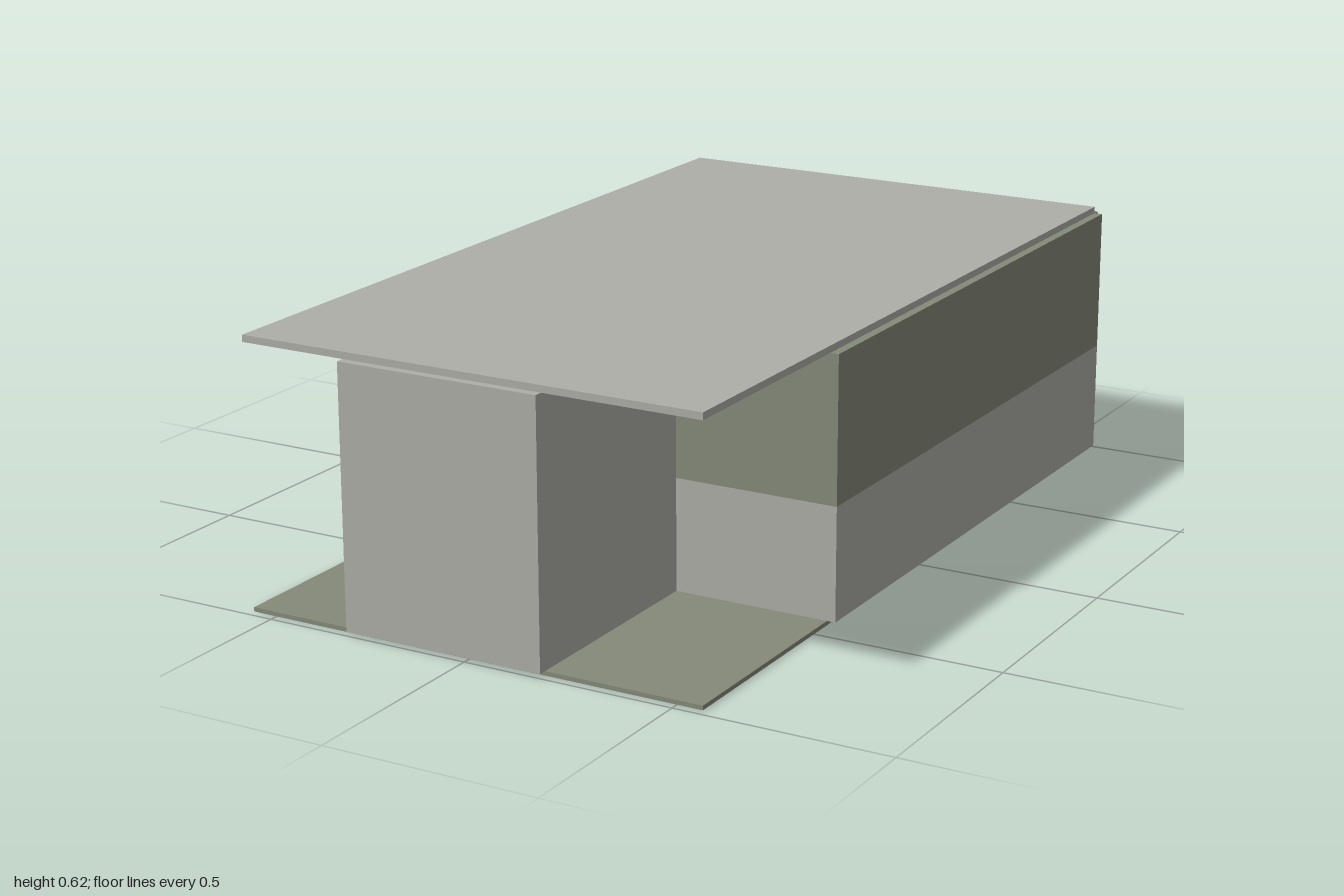
import * as THREE from 'three';

export function createModel() {
  const model = new THREE.Group();
  model.name = 'building';

  const paleGrey = new THREE.MeshStandardMaterial({ color: 0xaeaea8 });
  paleGrey.name = 'paleGrey';
  const olive = new THREE.MeshStandardMaterial({ color: 0x868a7a });
  olive.name = 'olive';

  // Box given by its limits on each axis
  function block(name, material, [x0, x1], [y0, y1], [z0, z1]) {
    const mesh = new THREE.Mesh(new THREE.BoxGeometry(x1 - x0, y1 - y0, z1 - z0), material);
    mesh.position.set((x0 + x1) / 2, (y0 + y1) / 2, (z0 + z1) / 2);
    mesh.name = name;
    model.add(mesh);
  }

  // Footprint of the main hall, with small notches at the back corners
  const footprint = new THREE.Shape([
    [-0.58, -0.44], [0.58, -0.44], [0.58, 0.98], [0.56, 0.98],
    [0.56, 1], [-0.56, 1], [-0.56, 0.98], [-0.58, 0.98],
  ].map(([x, y]) => new THREE.Vector2(x, y)));

  // One horizontal band of the hall walls
  function wallBand(name, material, y0, y1) {
    const geometry = new THREE.ExtrudeGeometry(footprint, { depth: y1 - y0, bevelEnabled: false });
    geometry.rotateX(-Math.PI / 2);
    const mesh = new THREE.Mesh(geometry, material);
    mesh.position.y = y0;
    mesh.name = name;
    model.add(mesh);
  }

  const floorTop = 0.01, bandLine = 0.272, wallTop = 0.609;

  // Floor and roof slabs, reaching out past the hall at the front
  block('floorSlab', olive, [-0.56, 0.56], [0, floorTop], [-0.98, 0.98]);
  block('roofSlab', paleGrey, [-0.56, 0.56], [wallTop, 0.625], [-0.98, 0.98]);

  // Two-tone hall walls
  wallBand('lowerWalls', paleGrey, floorTop, bandLine);
  wallBand('upperWalls', olive, bandLine, wallTop);

  // Off-centre entrance block between the two porches
  block('entranceBlock', paleGrey, [-0.3, 0.187], [floorTop, wallTop], [0.44, 1]);

  return model;
}
